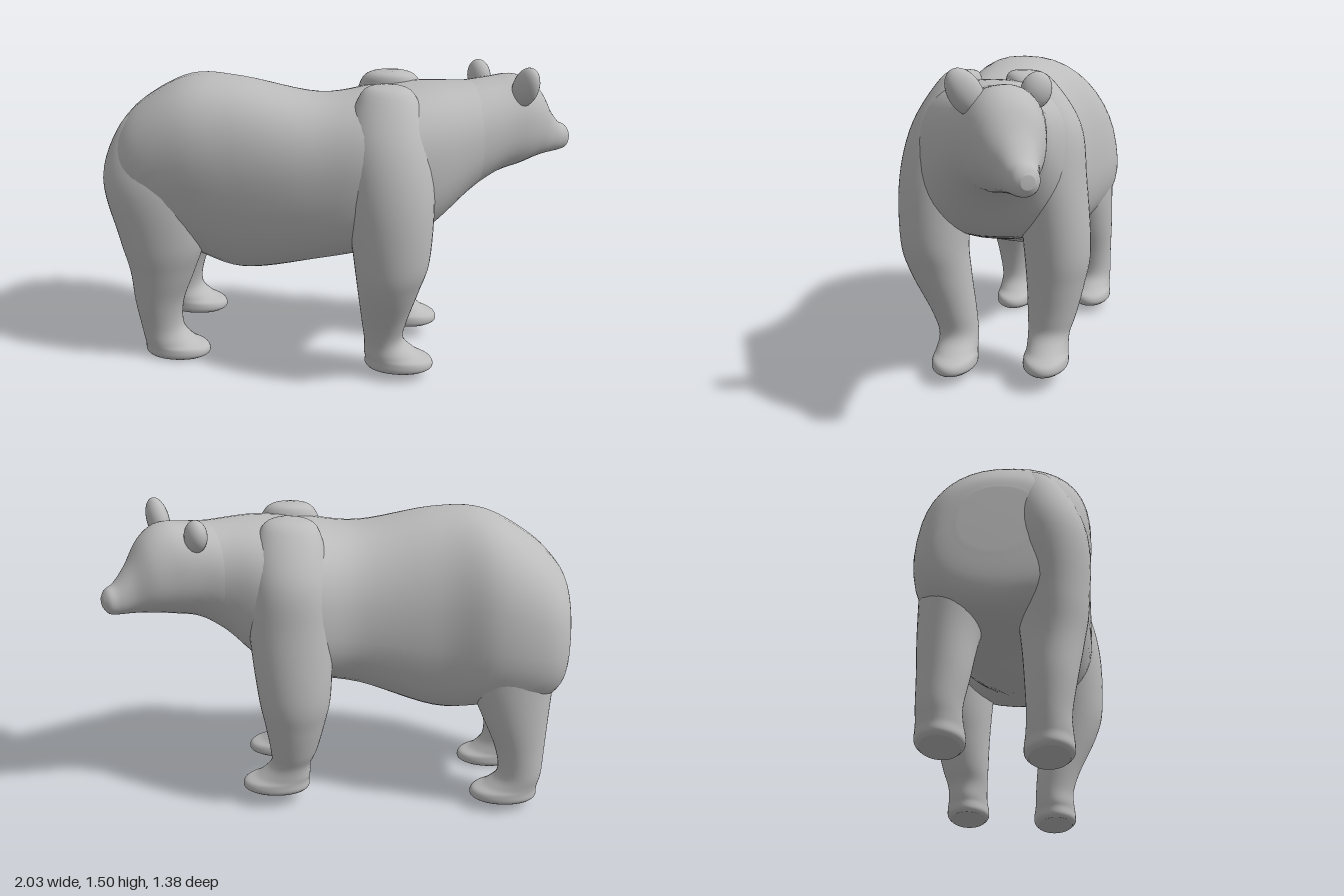
import * as THREE from 'three';

const fur = new THREE.MeshStandardMaterial({ color: 0xbcbcbc });
fur.name = 'grey fur';

const SIDES = 40, STEPS = 6;
const rad = THREE.MathUtils.degToRad;

// Catmull-Rom through rows of numbers, so every section value changes smoothly
function refine(rows) {
  const out = [];
  const last = rows.length - 1;
  for (let i = 0; i < last; i++) {
    const a = rows[Math.max(i - 1, 0)], b = rows[i], c = rows[i + 1], d = rows[Math.min(i + 2, last)];
    for (let s = 0; s < STEPS; s++) {
      const t = s / STEPS;
      out.push(b.map((v, k) => 0.5 * (2 * v + (c[k] - a[k]) * t
        + (2 * a[k] - 5 * v + 4 * c[k] - d[k]) * t * t
        + (3 * v - a[k] - 3 * c[k] + d[k]) * t * t * t)));
    }
  }
  out.push(rows[last]);
  return out;
}

// Closed skin over rings {p, a, b, power}; a x b points along the loft, power below 1 squares the ring
function skin(name, rings) {
  const pos = [], index = [];
  for (const { p, a, b, power } of rings) {
    const round = (v) => Math.sign(v) * Math.abs(v) ** power;
    for (let j = 0; j < SIDES; j++) {
      const t = (j / SIDES) * Math.PI * 2;
      const v = p.clone().addScaledVector(a, round(Math.cos(t))).addScaledVector(b, round(Math.sin(t)));
      pos.push(v.x, v.y, v.z);
    }
  }
  const n = rings.length;
  const first = n * SIDES, end = first + 1;
  pos.push(...rings[0].p.toArray(), ...rings[n - 1].p.toArray());
  for (let j = 0; j < SIDES; j++) {
    const k = (j + 1) % SIDES;
    for (let i = 0; i < n - 1; i++) {
      const r = i * SIDES, q = r + SIDES;
      index.push(r + j, r + k, q + j, r + k, q + k, q + j);
    }
    const e = (n - 1) * SIDES;
    index.push(first, k, j, end, e + j, e + k);
  }
  const g = new THREE.BufferGeometry();
  g.setAttribute('position', new THREE.Float32BufferAttribute(pos, 3));
  g.setIndex(index);
  g.computeVertexNormals();
  const mesh = new THREE.Mesh(g, fur);
  mesh.name = name;
  return mesh;
}

// Upright sections along the spine: [x, z, top, bottom, halfWidth, heading, power, lean to the right]
function spineLoft(name, rows) {
  return skin(name, refine(rows).map(([x, z, top, bottom, w, deg, power, lean]) => {
    const c = Math.cos(rad(deg)), s = Math.sin(rad(deg));
    return {
      p: new THREE.Vector3(x, (top + bottom) / 2, z),
      a: new THREE.Vector3(s * w, 0, -c * w),
      b: new THREE.Vector3(-s * lean, (top - bottom) / 2, c * lean),
      power,
    };
  }));
}

// Level sections from top to ankle: [y, x, z, halfLength, halfWidth], then a foot
function leg(name, ground, heading, rows) {
  const c = Math.cos(rad(heading)), s = Math.sin(rad(heading));
  const [, ax, az] = rows[rows.length - 1];
  const foot = [[0.085, 0.035, 0.13, 0.097], [0.055, 0.07, 0.16, 0.103], [0.02, 0.075, 0.165, 0.103], [0, 0.07, 0.145, 0.085]]
    .map(([y, shift, l, w]) => [ground + y, ax + c * shift, az + s * shift, l, w]);
  return skin(name, refine([...rows, ...foot]).map(([y, x, z, l, w]) => ({
    p: new THREE.Vector3(x, y, z),
    a: new THREE.Vector3(c * l, 0, s * l),
    b: new THREE.Vector3(-s * w, 0, c * w),
    power: 1,
  })));
}

function ear(name, position, scale, lean) {
  const m = new THREE.Mesh(new THREE.SphereGeometry(1, 24, 16), fur);
  m.name = name;
  m.position.set(...position);
  m.scale.set(...scale);
  m.rotation.set(0, rad(-35), rad(lean), 'YXZ');
  return m;
}

export function createModel() {
  const bear = new THREE.Group();
  bear.name = 'bear';

  // Rump, barrel, chest and neck
  bear.add(spineLoft('torso', [
    [-0.92, 0.38, 1.10, 0.80, 0.16, -25, 0.9, 0.02],
    [-0.895, 0.37, 1.18, 0.62, 0.28, -25, 0.86, 0.04],
    [-0.78, 0.335, 1.30, 0.54, 0.355, -25, 0.84, 0.06],
    [-0.56, 0.27, 1.42, 0.51, 0.37, -25, 0.84, 0.07],
    [-0.31, 0.22, 1.425, 0.46, 0.335, -25, 0.87, 0.05],
    [0.04, 0.11, 1.36, 0.56, 0.335, -25, 0.87, 0.01],
    [0.28, -0.03, 1.39, 0.64, 0.385, -27, 0.8, 0],
    [0.46, -0.14, 1.41, 0.72, 0.33, -32, 0.82, 0],
    [0.60, -0.25, 1.41, 0.88, 0.25, -41, 0.9, 0],
    [0.70, -0.35, 1.41, 0.98, 0.19, -50, 0.95, 0],
  ]));

  // Skull tapering into the muzzle
  bear.add(spineLoft('head', [
    [0.60, -0.25, 1.405, 0.89, 0.245, -41, 0.9, 0],
    [0.70, -0.345, 1.42, 0.97, 0.205, -50, 0.92, 0],
    [0.79, -0.435, 1.43, 1.0, 0.175, -53, 0.92, 0],
    [0.85, -0.51, 1.375, 1.02, 0.14, -53, 0.95, 0],
    [0.90, -0.57, 1.26, 1.03, 0.092, -53, 0.95, 0],
    [0.94, -0.62, 1.185, 1.035, 0.068, -53, 0.95, 0],
    [0.967, -0.655, 1.16, 1.045, 0.055, -53, 0.95, 0],
    [0.98, -0.672, 1.13, 1.075, 0.028, -53, 0.95, 0],
  ]));

  // Ears
  bear.add(ear('leftEar', [0.6, 1.395, -0.455], [0.066, 0.078, 0.05], 20));
  bear.add(ear('rightEar', [0.885, 1.405, -0.31], [0.07, 0.105, 0.05], -32));

  // Front legs rise to the shoulder blades
  bear.add(leg('frontRightLeg', 0.04, -22, [
    [1.435, 0.38, 0.08, 0.03, 0.03],
    [1.40, 0.39, 0.09, 0.12, 0.09],
    [1.20, 0.42, 0.14, 0.19, 0.165],
    [0.95, 0.46, 0.18, 0.2, 0.175],
    [0.66, 0.48, 0.19, 0.175, 0.16],
    [0.50, 0.46, 0.175, 0.145, 0.145],
    [0.30, 0.42, 0.13, 0.108, 0.108],
    [0.19, 0.41, 0.11, 0.095, 0.094],
  ]));
  bear.add(leg('frontLeftLeg', 0.07, -22, [
    [1.44, 0.28, -0.17, 0.03, 0.03],
    [1.40, 0.26, -0.19, 0.13, 0.1],
    [1.20, 0.23, -0.26, 0.18, 0.16],
    [0.95, 0.22, -0.29, 0.195, 0.16],
    [0.62, 0.20, -0.31, 0.175, 0.155],
    [0.45, 0.205, -0.305, 0.145, 0.135],
    [0.30, 0.22, -0.295, 0.115, 0.113],
    [0.22, 0.24, -0.292, 0.1, 0.098],
  ]));

  // Hind legs start at the haunches
  bear.add(leg('hindRightLeg', 0, -22, [
    [1.30, -0.64, 0.40, 0.06, 0.05],
    [1.20, -0.64, 0.44, 0.18, 0.13],
    [0.95, -0.64, 0.49, 0.25, 0.18],
    [0.65, -0.61, 0.50, 0.21, 0.155],
    [0.47, -0.62, 0.50, 0.16, 0.13],
    [0.30, -0.65, 0.50, 0.122, 0.108],
    [0.16, -0.65, 0.49, 0.108, 0.093],
  ]));
  bear.add(leg('hindLeftLeg', 0.04, -22, [
    [1.22, -0.72, 0.17, 0.06, 0.05],
    [1.14, -0.72, 0.16, 0.17, 0.12],
    [0.92, -0.74, 0.13, 0.24, 0.17],
    [0.70, -0.745, 0.115, 0.215, 0.16],
    [0.50, -0.785, 0.10, 0.165, 0.13],
    [0.32, -0.82, 0.10, 0.122, 0.11],
    [0.19, -0.83, 0.09, 0.108, 0.096],
  ]));

  return bear;
}
